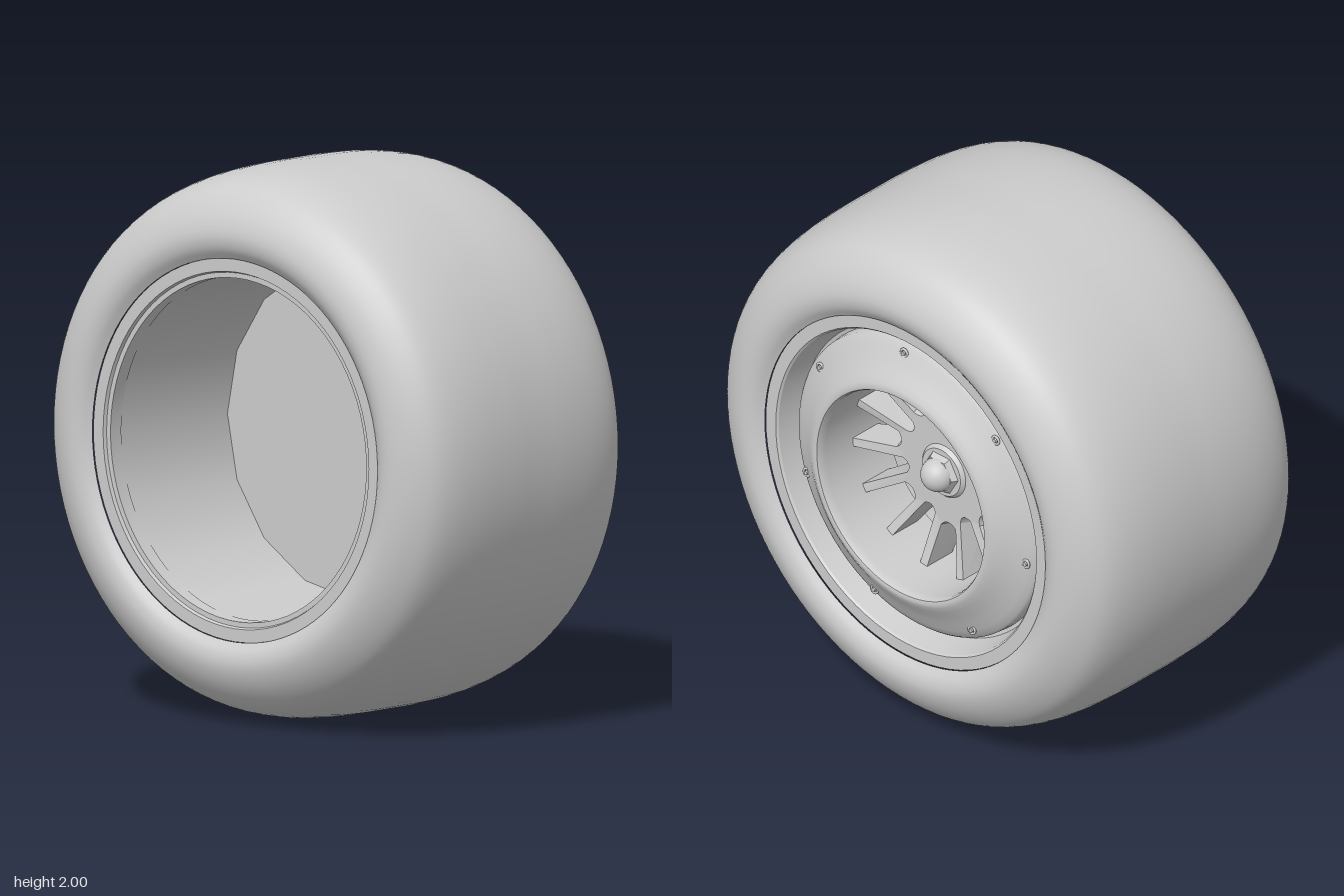
import * as THREE from 'three';
import { toCreasedNormals } from 'three/addons/utils/BufferGeometryUtils.js';

const grey = new THREE.MeshStandardMaterial({ color: 0xcccccc });
grey.name = 'plain grey';

const START = THREE.MathUtils.degToRad(95.1); // angle of the first bolt and spoke gap

export function createModel() {
  const wheel = new THREE.Group();
  wheel.name = 'wheel';

  const add = (name, geometry, parent = wheel) => {
    const mesh = new THREE.Mesh(geometry, grey);
    mesh.name = name;
    parent.add(mesh);
    return mesh;
  };

  // Turned part about the x axis; points are [x, radius]
  const turned = (points, segments, crease) => {
    const g = new THREE.LatheGeometry(points.map(([x, r]) => new THREE.Vector2(r, x)), segments);
    g.rotateZ(-Math.PI / 2);
    return crease ? toCreasedNormals(g, crease) : g;
  };

  // Tyre: a mirrored half profile, smoothed by a spline
  const half = [[0.15, 0.999], [0.3, 0.988], [0.41, 0.964], [0.475, 0.932], [0.52, 0.885],
    [0.552, 0.83], [0.566, 0.775], [0.558, 0.73], [0.533, 0.692]];
  const section = [...half.map(([x, r]) => [-x, r]).reverse(), [0, 1], ...half];
  const curve = new THREE.CatmullRomCurve3(section.map(([x, r]) => new THREE.Vector3(x, r, 0)));
  add('tyre', turned(curve.getPoints(72).map((p) => [p.x, p.y]), 96));

  // Outer rim: flat flange, then a deep wall down to the cover
  add('outerRim', turned([[0.5, 0.695], [0.528, 0.692], [0.528, 0.643], [0.52, 0.636],
    [0.42, 0.614], [0.41, 0.58]], 80, 0.5));

  // Inner rim flange around the open side
  add('innerRim', turned([[-0.46, 0.62], [-0.515, 0.621], [-0.515, 0.64], [-0.528, 0.645],
    [-0.528, 0.692], [-0.5, 0.695]], 80, 0.5));

  // Coarse barrel and the bulkhead that closes it
  add('barrel', turned([[0.09, 0.61], [-0.49, 0.633]], 16));
  const bulkhead = new THREE.CircleGeometry(0.612, 16);
  bulkhead.rotateY(-Math.PI / 2);
  add('bulkhead', bulkhead).position.x = 0.09;

  // Cover: a shallow cone rolling over a lip into the central tunnel
  add('cover', turned([[0.41, 0.601], [0.455, 0.597], [0.466, 0.588], [0.482, 0.56], [0.5, 0.525],
    [0.521, 0.49], [0.541, 0.462], [0.554, 0.441], [0.56, 0.425], [0.557, 0.413], [0.545, 0.407],
    [0.52, 0.405], [0.2, 0.405]], 80, 0.8));

  // Brake disc behind the spokes
  const disc = new THREE.CircleGeometry(0.385, 18);
  disc.rotateY(Math.PI / 2);
  add('brakeDisc', disc).position.x = 0.12;

  // Spokes: a fourteen-armed star with rounded gaps, every other one deeper
  const star = new THREE.Shape();
  const halfSpoke = 0.017;
  for (let i = 0; i < 14; i++) {
    const mid = START + (i * Math.PI) / 7;
    const inner = i % 2 ? 0.215 : 0.185;
    const at = (r, side) => {
      const a = mid + side * (Math.PI / 14 - Math.asin(halfSpoke / r));
      return [Math.cos(a) * r, Math.sin(a) * r];
    };
    const c = inner - 0.02;
    if (i === 0) star.moveTo(...at(0.406, -1));
    else star.lineTo(...at(0.406, -1));
    star.lineTo(...at(inner + 0.02, -1));
    star.quadraticCurveTo(Math.cos(mid) * c, Math.sin(mid) * c, ...at(inner + 0.02, 1));
    star.lineTo(...at(0.406, 1));
  }
  star.closePath();
  const spokes = new THREE.ExtrudeGeometry(star, { depth: 0.13, bevelEnabled: false, curveSegments: 8 });
  spokes.rotateY(Math.PI / 2);
  // flare the back of each gap outward and dish the spoke ends forward
  const pos = spokes.attributes.position;
  for (let i = 0; i < pos.count; i++) {
    const r = Math.hypot(pos.getY(i), pos.getZ(i));
    if (r > 0.25) {
      pos.setX(i, pos.getX(i) + 0.05);
    } else if (pos.getX(i) < 0.01) {
      pos.setY(i, pos.getY(i) * 1.2);
      pos.setZ(i, pos.getZ(i) * 1.2);
    }
  }
  spokes.computeVertexNormals();
  add('spokes', toCreasedNormals(spokes, 0.5)).position.x = 0.2;

  // Hub with a tapered collar, wheel nut and domed cap
  add('hub', turned([[0.12, 0.12], [0.3, 0.12], [0.334, 0.104], [0.345, 0.094], [0.345, 0]], 40, 0.5));
  const nut = new THREE.CylinderGeometry(0.07, 0.084, 0.025, 6);
  nut.rotateZ(-Math.PI / 2);
  add('wheelNut', toCreasedNormals(nut, 0.5)).position.x = 0.355;
  add('hubCap', new THREE.SphereGeometry(0.064, 32, 20)).position.x = 0.362;

  // Seven bolts around the cover
  for (let i = 0; i < 7; i++) {
    const a = START - (i * Math.PI * 2) / 7;
    const bolt = new THREE.Group();
    bolt.name = 'bolt';
    bolt.position.set(0.486, Math.sin(a) * 0.556, -Math.cos(a) * 0.556);
    const collar = new THREE.TorusGeometry(0.015, 0.005, 8, 20);
    collar.rotateY(Math.PI / 2);
    add('boltCollar', collar, bolt);
    const pin = new THREE.CylinderGeometry(0.008, 0.008, 0.016, 12);
    pin.rotateZ(-Math.PI / 2);
    add('boltPin', pin, bolt);
    wheel.add(bolt);
  }

  // Stand the wheel on the ground
  wheel.position.y = 1;
  const model = new THREE.Group();
  model.name = 'racingWheel';
  model.add(wheel);
  return model;
}
